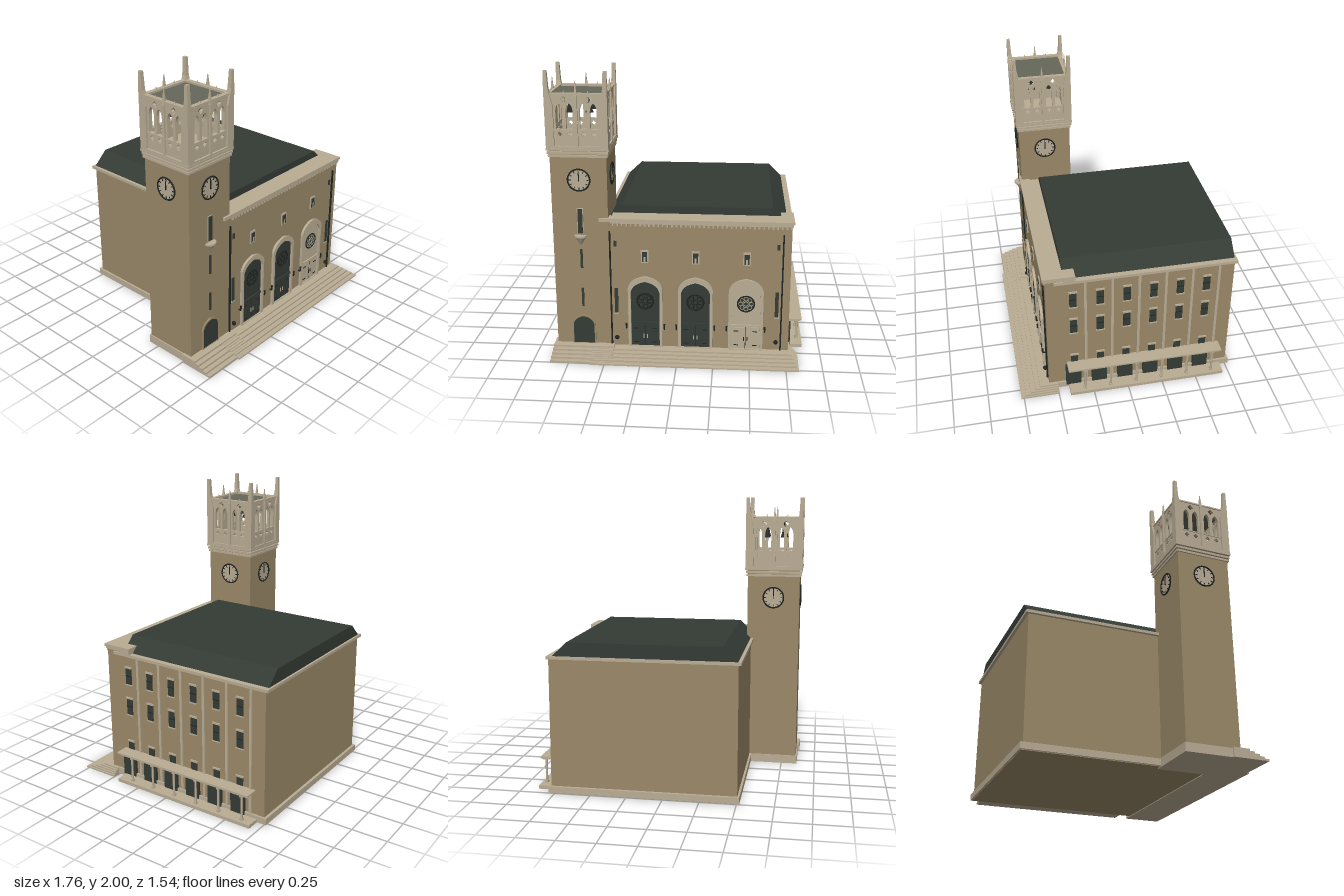
import * as THREE from 'three';

const mat = (name, color, extra = {}) => Object.assign(new THREE.MeshStandardMaterial({ color, ...extra }), { name });

export function createModel() {
  const root = new THREE.Group();
  root.name = 'hallWithClockTower';
  const brick = mat('brick', 0x9b8969);
  const stone = mat('stone', 0xb9ac94);
  const slate = mat('darkGreen', 0x343b35);
  const iron = mat('iron', 0x1f2522);
  const lead = mat('leadRoof', 0x66675b);

  const add = (parent, name, geo, m, x = 0, y = 0, z = 0) => {
    const mesh = new THREE.Mesh(geo, m);
    mesh.name = name;
    mesh.position.set(x, y, z);
    parent.add(mesh);
    return mesh;
  };
  // Box given by its limits
  const box = (parent, name, m, x0, x1, y0, y1, z0, z1) =>
    add(parent, name, new THREE.BoxGeometry(x1 - x0, y1 - y0, z1 - z0), m, (x0 + x1) / 2, (y0 + y1) / 2, (z0 + z1) / 2);
  const group = (name, parent = root) => {
    const g = new THREE.Group();
    g.name = name;
    parent.add(g);
    return g;
  };
  // Pointed or rounded arch outline around cx, half width w
  const arch = (P, cx, w, y0, spring, top) => {
    const s = new P();
    s.moveTo(cx - w, y0);
    s.lineTo(cx + w, y0);
    s.lineTo(cx + w, spring);
    s.quadraticCurveTo(cx + w * 0.85, top - (top - spring) * 0.2, cx, top);
    s.quadraticCurveTo(cx - w * 0.85, top - (top - spring) * 0.2, cx - w, spring);
    return s;
  };
  const extrude = (s, depth) => new THREE.ExtrudeGeometry(s, { depth, bevelEnabled: false, curveSegments: 8 });
  const rect = (x0, x1, y0, y1) => new THREE.Shape([[x0, y0], [x1, y0], [x1, y1], [x0, y1]].map(p => new THREE.Vector2(...p)));

  // ---- Main hall ----
  const hall = group('hall');
  box(hall, 'walls', brick, -0.505, 0.77, 0.03, 0.95, -0.75, 0.56);
  box(hall, 'frontWallTop', brick, -0.48, 0.77, 0.95, 0.975, 0.43, 0.56);
  box(hall, 'plinth', stone, -0.52, 0.785, 0.01, 0.055, -0.77, 0.565);
  box(hall, 'underside', brick, -0.51, 0.77, 0.005, 0.012, -0.76, 0.56);
  box(hall, 'eavesBand', stone, -0.525, 0.782, 0.94, 0.96, -0.77, 0.5);
  box(hall, 'parapetBase', stone, -0.46, 0.778, 0.968, 0.985, 0.36, 0.572);
  box(hall, 'parapetCap', stone, -0.46, 0.785, 0.985, 1.003, 0.43, 0.578);
  box(hall, 'parapetReturn', stone, 0.695, 0.785, 0.96, 1.003, 0.355, 0.44);
  box(hall, 'corniceEnd', stone, -0.54, -0.45, 0.98, 1.003, 0.5, 0.578);
  for (let i = 0; i < 40; i++) {
    const x = -0.45 + i * 0.031;
    box(hall, 'corbel', stone, x, x + 0.012, 0.95, 0.968, 0.558, 0.57);
  }
  const roofShape = new THREE.Shape([[-0.508, 0.955], [0.748, 0.955], [0.642, 1.056], [-0.4, 1.056]].map(p => new THREE.Vector2(...p)));
  add(hall, 'roof', extrude(roofShape, 1.19), slate, 0, 0, -0.755);

  // ---- Front portals ----
  [-0.23, 0.12, 0.47].forEach((cx, i) => {
    const g = group('portal');
    g.position.set(cx, 0, 0.56);
    const bright = i === 2;
    const frame = arch(THREE.Shape, 0, 0.12, 0.055, 0.5, 0.585);
    frame.holes.push(arch(THREE.Path, 0, 0.1, 0.06, 0.47, 0.548));
    add(g, 'archFrame', extrude(frame, 0.018), stone);
    add(g, 'portalPanel', extrude(arch(THREE.Shape, 0, 0.101, 0.058, 0.47, 0.549), 0.004), bright ? stone : slate);
    // Rose window
    if (bright) add(g, 'roseGlass', new THREE.CircleGeometry(0.06, 28), slate, 0, 0.4, 0.006);
    const rim = bright ? stone : iron;
    add(g, 'roseRim', new THREE.TorusGeometry(0.058, 0.005, 6, 28), iron, 0, 0.4, 0.007);
    add(g, 'roseHub', new THREE.TorusGeometry(0.016, 0.003, 6, 16), rim, 0, 0.4, 0.007);
    for (let k = 0; k < 8; k++) {
      const a = k * Math.PI / 4;
      add(g, 'rosePetal', new THREE.TorusGeometry(0.014, 0.0025, 5, 12), rim, 0.038 * Math.cos(a), 0.4 + 0.038 * Math.sin(a), 0.007);
    }
    // Double doors
    box(g, 'doorLintel', bright ? stone : slate, -0.1, 0.1, 0.228, 0.243, 0, 0.014);
    box(g, 'doorJoint', iron, -0.002, 0.002, 0.06, 0.228, 0.004, 0.007);
    for (const s of [-1, 1]) {
      box(g, 'doorLeaf', bright ? stone : slate, s * 0.046 - 0.04, s * 0.046 + 0.04, 0.062, 0.222, 0.003, 0.009);
      box(g, 'handle', bright ? iron : stone, s * 0.012 - 0.003, s * 0.012 + 0.003, 0.12, 0.15, 0.009, 0.014);
      for (const y of [0.085, 0.19]) box(g, 'hinge', iron, s * 0.065 - 0.016, s * 0.065 + 0.016, y, y + 0.006, 0.009, 0.012);
      // Wall lamps
      const lx = s * 0.133;
      add(g, 'lamp', new THREE.CylinderGeometry(0.008, 0.005, 0.035, 6), iron, lx, 0.215, 0.02);
      box(g, 'lampBracket', iron, lx - 0.003, lx + 0.003, 0.19, 0.2, 0, 0.02);
    }
    // Small window above
    box(g, 'upperWindowFrame', stone, -0.026, 0.026, 0.685, 0.778, 0, 0.008);
    box(g, 'upperWindow', slate, -0.018, 0.018, 0.693, 0.765, 0.006, 0.011);
    box(g, 'upperWindowPanel', stone, -0.007, 0.007, 0.693, 0.73, 0.008, 0.013);
  });
  // Slits, drainpipes and low lamps beside the portals
  for (const x of [-0.432, 0.682]) {
    box(hall, 'slitFrame', stone, x - 0.017, x + 0.017, 0.295, 0.305, 0.558, 0.568);
    box(hall, 'slitWindow', slate, x - 0.012, x + 0.012, 0.305, 0.49, 0.558, 0.566);
    box(hall, 'smallWindow', slate, x - 0.01, x + 0.01, 0.8, 0.84, 0.558, 0.566);
    add(hall, 'lowLamp', new THREE.SphereGeometry(0.016, 10, 8), iron, x, 0.12, 0.575);
  }
  for (const x of [-0.469, 0.715]) box(hall, 'drainpipe', iron, x - 0.005, x + 0.005, 0.055, 0.91, 0.558, 0.571);

  // ---- Right side: windows, pilasters and arcade ----
  const side = group('rightSide');
  for (let k = 0; k < 6; k++) {
    const z = 0.374 - k * 0.1865;
    box(side, 'pilaster', stone, 0.765, 0.78, 0.055, 0.94, z - 0.093, z - 0.075);
    for (const [y0, y1] of [[0.735, 0.86], [0.505, 0.63], [0.235, 0.3]]) {
      box(side, 'window', slate, 0.768, 0.775, y0, y1, z - 0.025, z + 0.025);
      box(side, 'windowLintel', stone, 0.768, 0.78, y1 - 0.006, y1 + 0.006, z - 0.03, z + 0.03);
      box(side, 'windowSill', stone, 0.768, 0.78, y0 - 0.008, y0, z - 0.03, z + 0.03);
      if (y1 > 0.4) box(side, 'windowBar', iron, 0.77, 0.777, (y0 + y1) / 2 - 0.003, (y0 + y1) / 2 + 0.003, z - 0.025, z + 0.025);
    }
    box(side, 'arcadeDoor', slate, 0.768, 0.79, 0.03, 0.212, z - 0.045, z + 0.065);
    const col = group('arcadeColumn', side);
    add(col, 'shaft', new THREE.CylinderGeometry(0.008, 0.008, 0.18, 10), stone, 0.845, 0.12, z - 0.062);
    box(col, 'capital', stone, 0.834, 0.856, 0.2, 0.215, z - 0.073, z - 0.051);
    box(col, 'base', stone, 0.834, 0.856, 0.03, 0.045, z - 0.073, z - 0.051);
  }
  box(side, 'arcadeRoof', stone, 0.76, 0.858, 0.212, 0.222, -0.67, 0.42);
  box(side, 'arcadeRoofEdge', stone, 0.76, 0.868, 0.222, 0.234, -0.68, 0.43);
  box(side, 'arcadeFloor', stone, 0.76, 0.878, 0.008, 0.032, -0.7, 0.42);

  // ---- Steps ----
  for (let i = 0; i < 5; i++) {
    box(root, 'hallStep', stone, -0.6, 0.838 - i * 0.011, i * 0.011, (i + 1) * 0.011, 0.5, 0.77 - i * 0.035);
    box(root, 'towerStep', stone, -0.88, -0.45, i * 0.013, (i + 1) * 0.013, 0.5, 0.752 - i * 0.034);
  }

  // ---- Tower, built around its own axis ----
  const tower = group('tower');
  tower.position.set(-0.667, 0, 0.37);
  box(tower, 'shaft', brick, -0.191, 0.191, 0.01, 1.5, -0.191, 0.191);
  box(tower, 'plinth', stone, -0.2, 0.2, 0, 0.06, -0.2, 0.2);
  [1.425, 1.448, 1.472].forEach((y, i) => {
    const h = 0.2 + i * 0.005;
    box(tower, 'band', stone, -h, h, y, y + 0.016, -h, h);
  });
  box(tower, 'belfryFloor', stone, -0.208, 0.208, 1.488, 1.502, -0.208, 0.208);
  box(tower, 'belfryRoof', lead, -0.185, 0.185, 1.825, 1.838, -0.185, 0.185);

  // Pierced belfry screen
  const screen = rect(-0.18, 0.18, 1.5, 1.85);
  const foil = (x, y, r) => {
    const p = new THREE.Path();
    for (let k = 0; k <= 16; k++) {
      const a = k * Math.PI / 8, q = r * (k % 4 === 0 ? 1 : k % 2 ? 0.85 : 0.6);
      p[k ? 'lineTo' : 'moveTo'](x + q * Math.cos(a), y + q * Math.sin(a));
    }
    return p;
  };
  for (const s of [-1, 1]) {
    for (const u of [0.046, 0.114]) {
      screen.holes.push(arch(THREE.Path, s * u, 0.023, 1.615, 1.735, 1.785), foil(s * u, 1.58, 0.018));
    }
    screen.holes.push(foil(s * 0.08, 1.81, 0.022));
  }
  const screenGeo = extrude(screen, 0.022);
  // Box whose top is narrowed to t and shifted by (dx, dz)
  const taper = (w, h, t, dx, dz) => {
    const g = new THREE.BoxGeometry(w, h, w), p = g.attributes.position;
    for (let i = 0; i < p.count; i++) if (p.getY(i) > 0) p.setXYZ(i, p.getX(i) * t + dx, p.getY(i), p.getZ(i) * t + dz);
    g.computeVertexNormals();
    return g;
  };
  for (let k = 0; k < 4; k++) {
    const face = group('towerFace', tower);
    face.rotation.y = k * Math.PI / 2;
    add(face, 'belfryScreen', screenGeo, stone, 0, 0, 0.172);
    box(face, 'screenCap', stone, -0.18, 0.18, 1.842, 1.853, 0.168, 0.2);
    box(face, 'screenRail', stone, -0.18, 0.18, 1.607, 1.615, 0.17, 0.199);
    // Centre pier, corner pinnacle and small finials
    box(face, 'centrePier', stone, -0.009, 0.009, 1.5, 1.83, 0.18, 0.207);
    add(face, 'centreSpike', taper(0.022, 0.105, 0.15, 0, 0), stone, 0, 1.8775, 0.194);
    for (const s of [-1, 1]) add(face, 'finial', new THREE.ConeGeometry(0.007, 0.022, 6), stone, s * 0.08, 1.862, 0.185);
    box(face, 'cornerPier', stone, 0.152, 0.208, 1.5, 1.78, 0.152, 0.208);
    add(face, 'cornerTaper', taper(0.054, 0.1, 0.56, 0.012, 0.012), stone, 0.181, 1.83, 0.181);
    add(face, 'cornerTip', taper(0.03, 0.12, 0.75, 0.002, 0.002), stone, 0.193, 1.94, 0.193);
    // Bell
    const bell = [[0.001, 0.07], [0.012, 0.066], [0.016, 0.035], [0.027, 0]].map(p => new THREE.Vector2(...p)).reverse();
    const bellMesh = add(face, 'bell', new THREE.LatheGeometry(bell, 14), iron, 0.065, 1.705, 0.065);
    bellMesh.material = bellMetal;
    box(face, 'bellHanger', iron, 0.062, 0.068, 1.77, 1.83, 0.062, 0.068);
    // Clock
    const clock = group('clock', face);
    clock.position.set(0, 1.268, 0.191);
    add(clock, 'dial', new THREE.CircleGeometry(0.076, 36), stone, 0, 0, 0.004);
    add(clock, 'dialRim', new THREE.TorusGeometry(0.075, 0.0055, 6, 36), iron, 0, 0, 0.005);
    for (let h = 0; h < 12; h++) {
      const a = h * Math.PI / 6;
      add(clock, 'hourMark', new THREE.BoxGeometry(0.005, 0.014, 0.006), iron, 0.06 * Math.sin(a), 0.06 * Math.cos(a), 0.005).rotation.z = -a;
    }
    box(clock, 'hands', iron, -0.003, 0.003, -0.008, 0.055, 0.006, 0.011);
  }

  // Tower front: slits, balcony and door
  const front = group('towerFront', tower);
  front.position.z = 0.191;
  box(front, 'tallWindowFrame', stone, -0.021, 0.021, 0.885, 1.07, 0, 0.005);
  box(front, 'tallWindow', slate, -0.016, 0.016, 0.89, 1.065, 0.003, 0.009);
  for (const [y0, y1] of [[0.635, 0.775], [0.35, 0.485]]) box(front, 'slit', slate, -0.008, 0.008, y0, y1, 0, 0.007);
  add(front, 'balcony', new THREE.CylinderGeometry(0.042, 0.003, 0.065, 16, 1, false, -Math.PI / 2, Math.PI), stone, 0, 0.838, 0);
  add(front, 'balconyRim', new THREE.CylinderGeometry(0.044, 0.044, 0.012, 16, 1, false, -Math.PI / 2, Math.PI), stone, 0, 0.872, 0);
  const doorFrame = arch(THREE.Shape, 0, 0.083, 0.065, 0.215, 0.285);
  doorFrame.holes.push(arch(THREE.Path, 0, 0.074, 0.067, 0.21, 0.272));
  add(front, 'doorFrame', extrude(doorFrame, 0.01), brick);
  add(front, 'towerDoor', extrude(arch(THREE.Shape, 0, 0.075, 0.066, 0.21, 0.273), 0.005), slate);

  return root;
}

// Open bell shells show from both sides
const bellMetal = mat('bellMetal', 0x2b2f2a, { side: THREE.DoubleSide });
